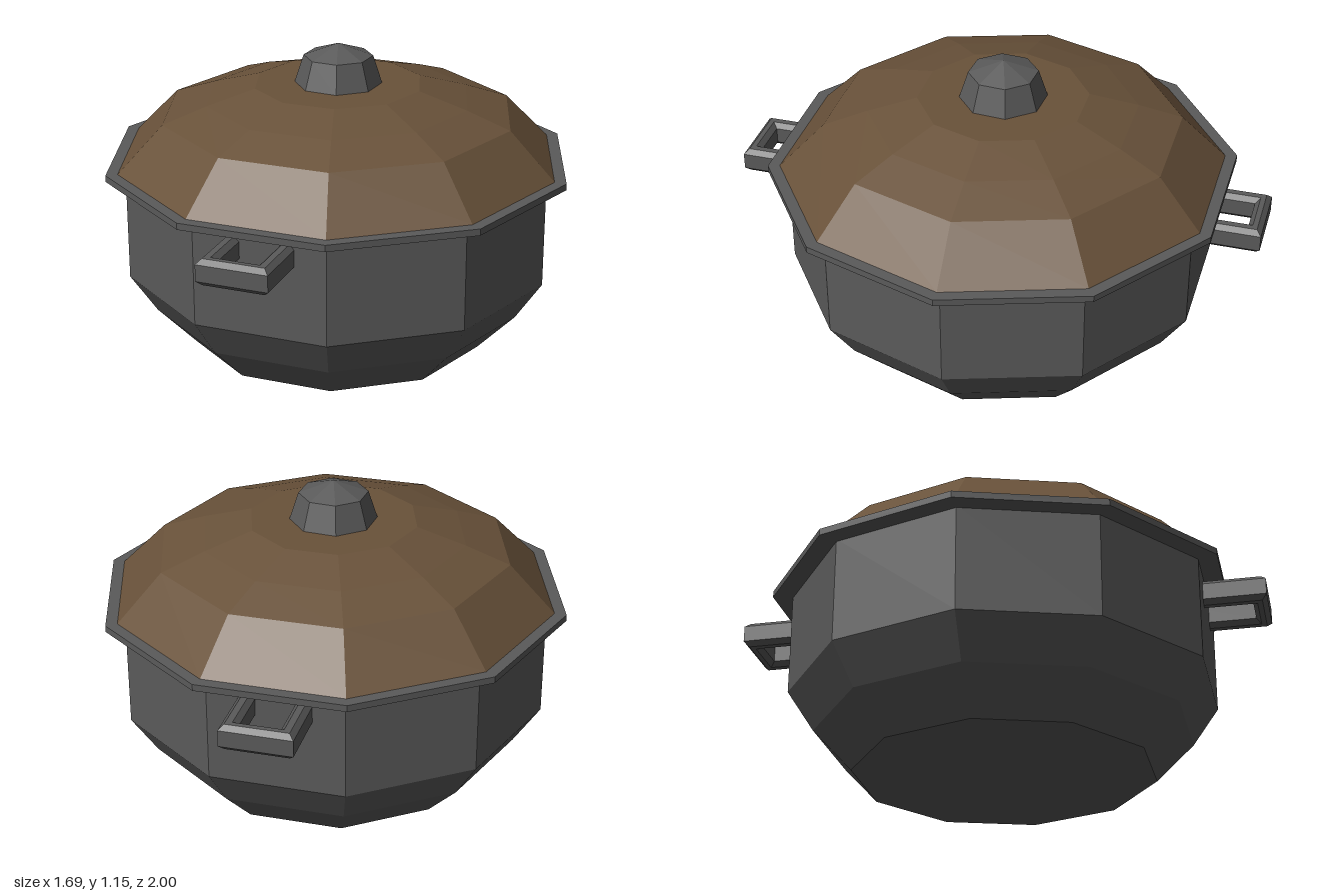
import * as THREE from 'three';

const iron = new THREE.MeshStandardMaterial({ color: 0x5a5a5a, flatShading: true });
const brown = new THREE.MeshStandardMaterial({ color: 0x69523a, flatShading: true });

// Faceted solid of revolution; profile runs [radius, y] from bottom to top
function turned(name, profile, sides, material) {
  const points = profile.map(([r, y]) => new THREE.Vector2(r, y));
  const geometry = new THREE.LatheGeometry(points, sides).toNonIndexed();
  geometry.computeVertexNormals();
  const mesh = new THREE.Mesh(geometry, material);
  mesh.name = name;
  return mesh;
}

// U-shaped grip with chamfered edges, its ends sunk into the pot wall
function handle(name, angle) {
  const w = 0.133, hole = 0.073, inner = 0.74, bar = 0.953, outer = 1.008;
  const shape = new THREE.Shape([
    [-w, inner], [-hole, inner], [-hole, bar], [hole, bar],
    [hole, inner], [w, inner], [w, outer], [-w, outer],
  ].map(([x, y]) => new THREE.Vector2(x, y)));
  const bevel = 0.018, height = 0.098;
  const geometry = new THREE.ExtrudeGeometry(shape, {
    depth: height - 2 * bevel, bevelEnabled: true, bevelSegments: 1,
    bevelSize: bevel, bevelThickness: bevel, bevelOffset: -bevel,
  });
  geometry.translate(0, 0, bevel - height / 2).rotateX(Math.PI / 2);
  const mesh = new THREE.Mesh(geometry, iron);
  mesh.name = name;
  mesh.position.y = 0.616;
  mesh.rotation.y = angle;
  return mesh;
}

export function createModel() {
  const pot = new THREE.Group();
  pot.name = 'cookingPot';

  pot.add(
    // Ten-sided bowl
    turned('potBody', [[0, 0], [0.57, 0], [0.715, 0.15], [0.815, 0.3], [0.815, 0.7]], 10, iron),
    // Flat rim between bowl and lid
    turned('rim', [[0.78, 0.69], [0.89, 0.69], [0.89, 0.715], [0.78, 0.715]], 10, iron),
    // Domed lid
    turned('lid', [[0.845, 0.715], [0.672, 0.892], [0.505, 0.95], [0.32, 1.003], [0, 1.003]], 10, brown),
    // Eight-sided knob
    turned('lidKnob', [[0.165, 1.0], [0.13, 1.108], [0, 1.155]], 8, iron),
  );

  // Opposite handles, each square to a flat of the bowl
  const tilt = Math.PI / 10;
  pot.add(handle('frontHandle', -tilt), handle('backHandle', Math.PI - tilt));
  return pot;
}
